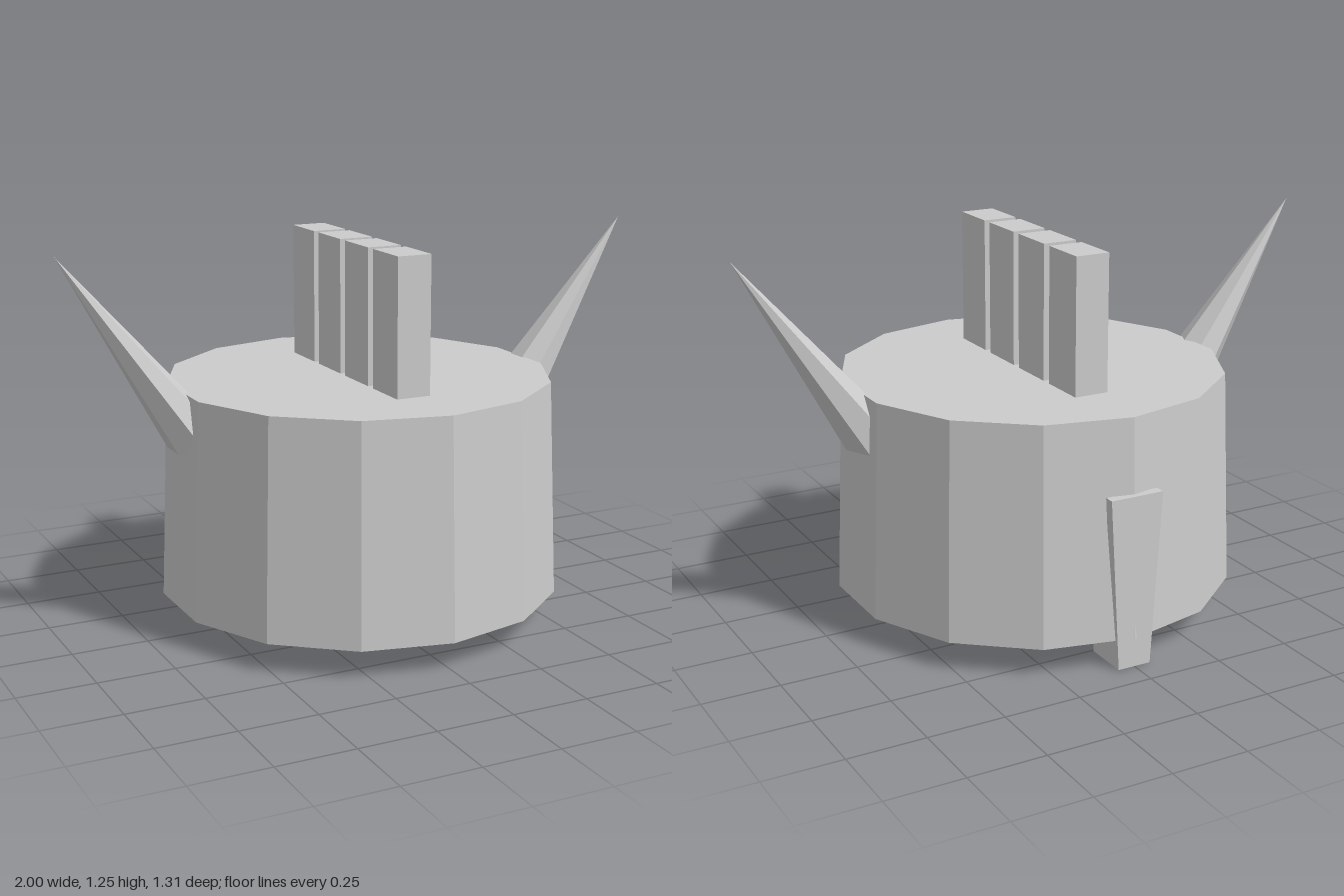
import * as THREE from 'three';

const grey = new THREE.MeshStandardMaterial({ color: 0xcccccc, flatShading: true });

function createPart(group, name, geometry, x = 0, y = 0, z = 0) {
  const mesh = new THREE.Mesh(geometry, grey);
  mesh.name = name;
  mesh.position.set(x, y, z);
  group.add(mesh);
  return mesh;
}

// Seven-sided cone with a level base, leaning sideways so its tip moves by lean
function hornGeometry(radius, height, lean) {
  const geometry = new THREE.ConeGeometry(radius, height, 7, 1, false, Math.PI / 2);
  geometry.translate(0, height / 2, 0);
  const p = geometry.attributes.position;
  for (let i = 0; i < p.count; i++) {
    p.setX(i, p.getX(i) + lean * p.getY(i) / height);
  }
  geometry.computeVertexNormals();
  return geometry;
}

// L-shaped strap with a foot under the body, widening from bottom to top
function strapGeometry() {
  const profile = new THREE.Shape([
    [0.505, 0], [0.655, 0], [0.655, 0.56], [0.622, 0.56], [0.622, 0.1], [0.505, 0.1],
  ].map(([a, b]) => new THREE.Vector2(a, b)));
  const geometry = new THREE.ExtrudeGeometry(profile, { depth: 2, bevelEnabled: false });
  geometry.translate(0, 0, -1);
  geometry.rotateY(Math.PI / 2);
  const p = geometry.attributes.position;
  for (let i = 0; i < p.count; i++) {
    p.setX(i, p.getX(i) * (0.056 + 0.034 * p.getY(i) / 0.56));
  }
  geometry.computeVertexNormals();
  return geometry;
}

export function createModel() {
  const model = new THREE.Group();
  model.name = 'hornedCap';

  // Slightly tapered fourteen-sided body
  createPart(model, 'body', new THREE.CylinderGeometry(0.627, 0.657, 0.705, 14), 0, 0.4475, 0);

  // Row of crest blocks from front to back
  for (let i = 0; i < 4; i++) {
    createPart(model, 'crestBlock' + (i + 1), new THREE.BoxGeometry(0.114, 0.46, 0.164), 0, 1.01, 0.298 - i * 0.1985);
  }

  // Horns leaning outward on both sides
  for (const side of [1, -1]) {
    createPart(model, side > 0 ? 'leftHorn' : 'rightHorn', hornGeometry(0.115, 0.637, side * 0.457), side * 0.543, 0.615, 0);
  }

  // Strap on the back
  createPart(model, 'backStrap', strapGeometry());

  return model;
}
